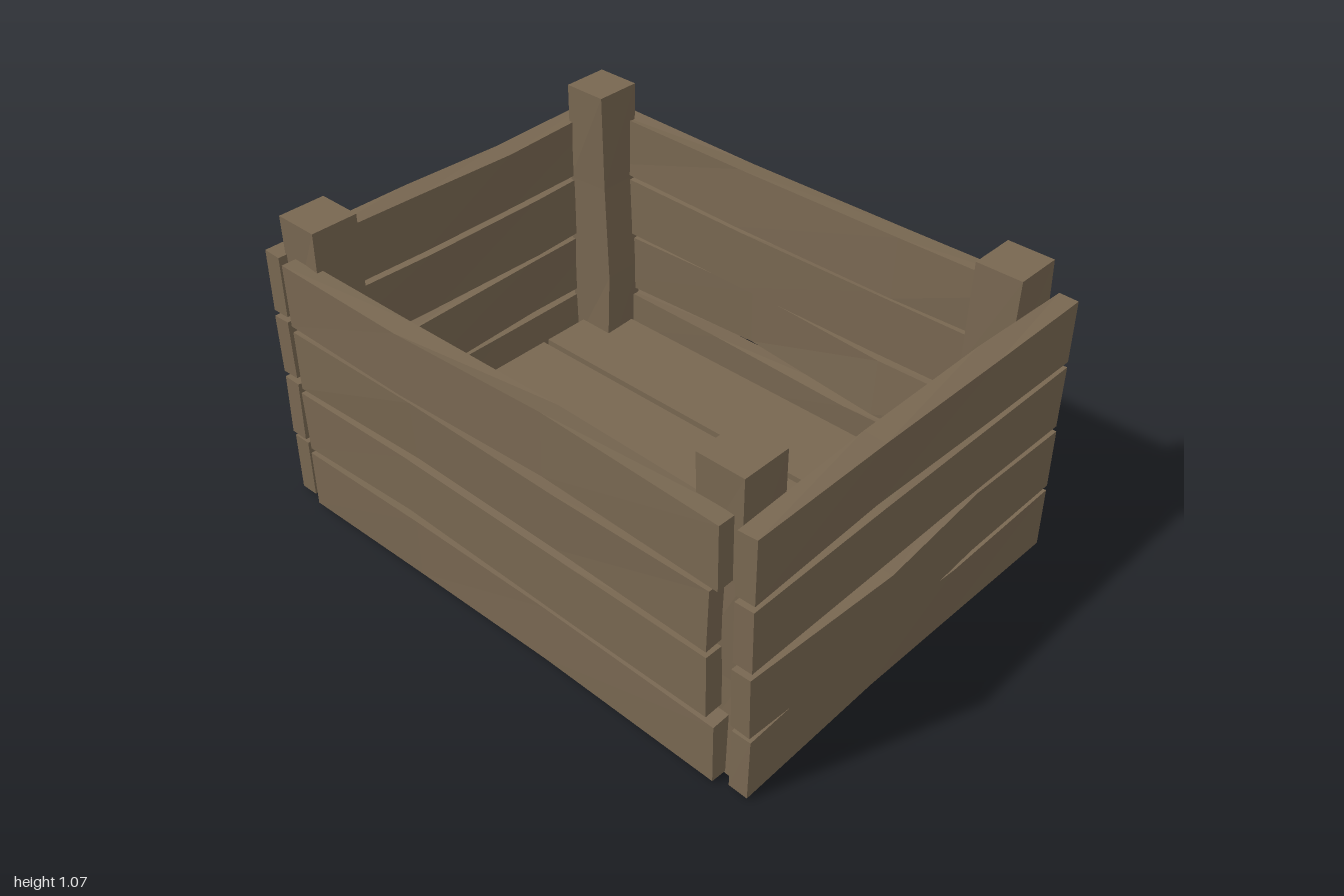
import * as THREE from 'three';

const wood = new THREE.MeshStandardMaterial({ color: 0x786751, flatShading: true });
wood.name = 'weathered wood';

// Repeatable wobble in 0..1 for one corner of one board
const wobble = (seed, i, j, k, n) => {
  const s = Math.sin(seed * 12.99 + i * 78.23 + j * 37.72 + k * 19.19 + n * 53.7) * 4375.85;
  return s - Math.floor(s);
};

// Board lying along x, outer face toward +z, warped at its two inner stations.
// bulge = [station, amount] pushes the board outward at that station.
function board(name, length, height, thick, seed, bulge = [-1, 0]) {
  const g = new THREE.BoxGeometry(length, height, thick, 3, 1, 1);
  const p = g.attributes.position;
  for (let v = 0; v < p.count; v++) {
    const x = p.getX(v), y = p.getY(v), z = p.getZ(v);
    const i = Math.round((x / length + 0.5) * 3), j = Math.sign(y), k = Math.sign(z);
    const inner = i === 1 || i === 2;
    const r = (n) => wobble(seed, i, j, k, n);
    p.setY(v, y + (r(1) - 0.5) * (inner ? 0.016 : 0.006));
    if (inner) {
      p.setX(v, x + (wobble(seed, i, 0, 0, 2) - 0.5) * 0.2);
      const push = i === bulge[0] ? bulge[1] : -0.018 * wobble(seed, i, j, 0, 3);
      p.setZ(v, z + push - (k < 0 ? 0.01 * r(4) : 0));
    } else {
      p.setX(v, x - Math.sign(x) * 0.012 * wobble(seed, i, j, 0, 5));
    }
  }
  const m = new THREE.Mesh(g, wood);
  m.name = name;
  return m;
}

export function createModel() {
  const crate = new THREE.Group();
  crate.name = 'crate';

  // Four walls of four slats each
  const rows = [0.117, 0.354, 0.594, 0.829];
  const walls = [
    { name: 'front', len: 1.76, pos: [-0.01, 0.715], turn: 0, seed: 1 },
    { name: 'back', len: 1.79, pos: [-0.02, -0.687], turn: Math.PI, seed: 6, bulge: [2, 0.035] },
    { name: 'left', len: 1.45, pos: [0.941, 0.007], turn: Math.PI / 2, seed: 11, bulge: [1, 0.026] },
    { name: 'right', len: 1.455, pos: [-0.967, 0.007], turn: -Math.PI / 2, seed: 16 },
  ];
  for (const w of walls) {
    const wall = new THREE.Group();
    wall.name = w.name + 'Wall';
    rows.forEach((y, i) => {
      const slat = board(w.name + 'Slat' + (i + 1), w.len, 0.216, 0.066, w.seed + i, i === 1 ? w.bulge : undefined);
      slat.position.y = y;
      wall.add(slat);
    });
    // Middle front slats stop a little short on one end
    if (w.name === 'front') [1, 2].forEach((i) => { wall.children[i].scale.x = 0.985; wall.children[i].position.x = -0.015; });
    wall.position.set(w.pos[0], 0, w.pos[1]);
    wall.rotation.y = w.turn;
    crate.add(wall);
  }

  // Floor boards
  [-0.485, -0.155, 0.175, 0.507].forEach((z, i) => {
    const floor = new THREE.Mesh(new THREE.BoxGeometry(1.77, 0.04, 0.308), wood);
    floor.name = 'floorBoard' + (i + 1);
    floor.position.set(-0.02, 0.1, z);
    crate.add(floor);
  });

  // Corner posts, slightly bowed along their height
  const corners = [[-0.86, 0.615], [0.82, 0.61], [-0.86, -0.595], [0.82, -0.59]];
  corners.forEach(([x, z], c) => {
    const g = new THREE.BoxGeometry(0.16, 1.07, 0.165, 1, 3, 1);
    const p = g.attributes.position;
    for (let v = 0; v < p.count; v++) {
      const i = Math.round((p.getY(v) / 1.07 + 0.5) * 3);
      if (i === 3) continue;
      const a = Math.sign(p.getX(v)), b = Math.sign(p.getZ(v));
      p.setX(v, p.getX(v) + (wobble(30 + c, i, a, b, 1) - 0.5) * 0.022);
      p.setZ(v, p.getZ(v) + (wobble(30 + c, i, a, b, 2) - 0.5) * 0.022);
    }
    const post = new THREE.Mesh(g, wood);
    post.name = 'cornerPost' + (c + 1);
    post.position.set(x, 0.535, z);
    crate.add(post);
  });

  return crate;
}
